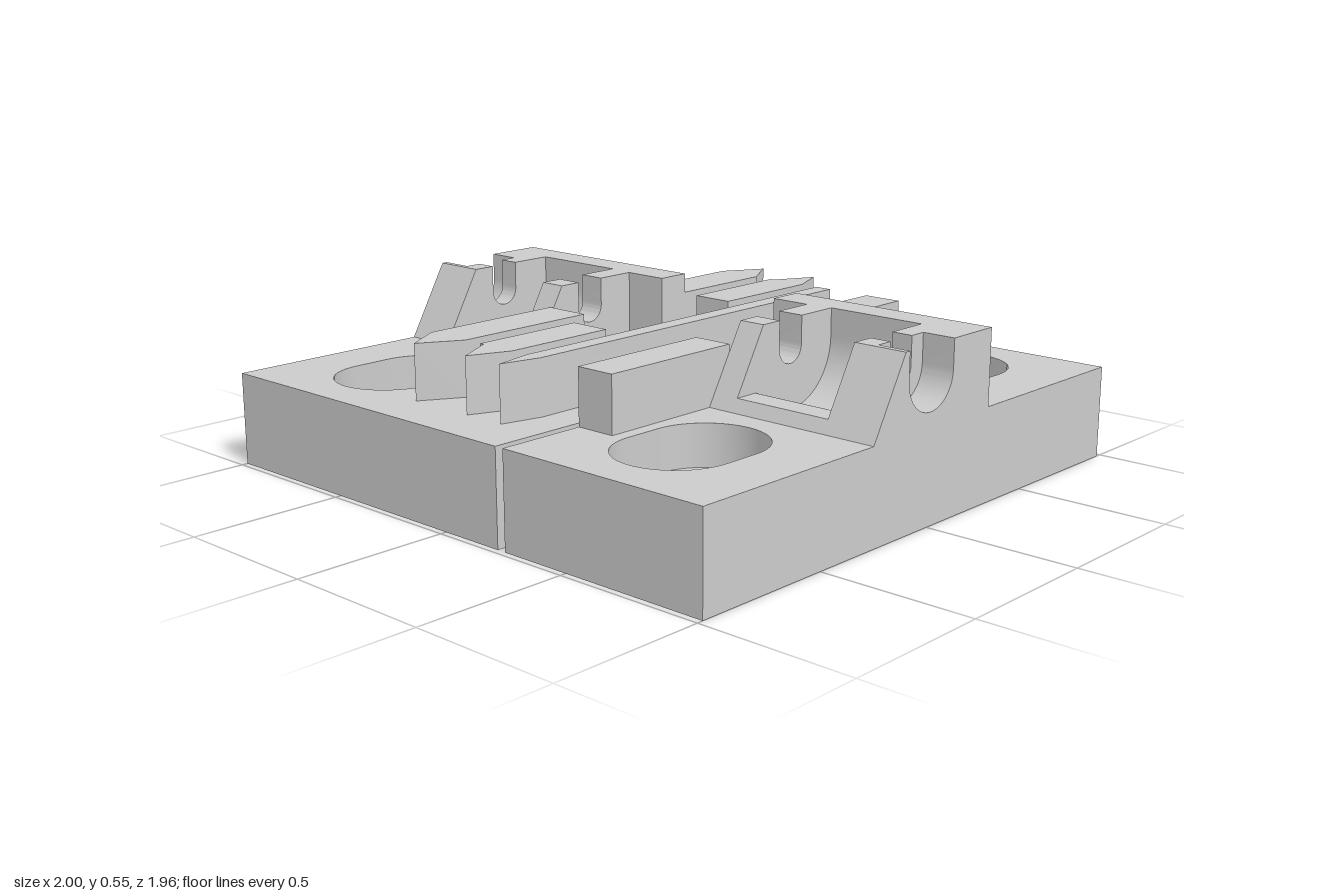
import * as THREE from 'three';
import { toCreasedNormals } from 'three/addons/utils/BufferGeometryUtils.js';

const material = new THREE.MeshStandardMaterial({ color: 0xcccccc });
const BASE = 0.305, TOP = 0.55, RIDGE = 0.485;   // heights
const BACK = -0.305, FRONT = 0.27, END = 0.98;   // depths along z
const AXLE = 0.46;                               // height of the axle line

export function createModel() {
  const model = new THREE.Group();

  const add = (name, geometry, parent = model) => {
    const mesh = new THREE.Mesh(toCreasedNormals(geometry, 0.5), material);
    mesh.name = name;
    parent.add(mesh);
  };
  const extrude = (shape, depth) =>
    new THREE.ExtrudeGeometry(shape, { depth, bevelEnabled: false, curveSegments: 24 });
  // Plan outline (x, z) raised from y0 to y1
  const raise = (shape, y0, y1) =>
    extrude(shape, y1 - y0).rotateX(Math.PI / 2).translate(0, y1, 0);
  // Side profile (z, y) swept from x0 to x1
  const sweep = (shape, x0, x1) =>
    extrude(shape, x1 - x0).rotateY(-Math.PI / 2).translate(x1, 0, 0);
  const poly = (points) => new THREE.Shape(points.map((p) => new THREE.Vector2(...p)));
  const rect = (a0, a1, b0, b1) => poly([[a0, b0], [a1, b0], [a1, b1], [a0, b1]]);

  // Rounded slot hole, long along z
  const slot = (x, z, r, half) => {
    const path = new THREE.Path();
    const s = half - r;
    path.absarc(x, z + s, r, 0, Math.PI, false);
    path.absarc(x, z - s, r, Math.PI, 2 * Math.PI, false);
    path.closePath();
    return path;
  };

  // Part of a base plate with a counterbored slot
  const slottedPlate = (name, x0, x1, z0, z1, sx, sz) => {
    const layers = [[0, 0.17, 0.095, 0.16], [0.17, BASE, 0.185, 0.248]];
    for (const [y0, y1, r, half] of layers) {
      const shape = rect(x0, x1, z0, z1);
      shape.holes.push(slot(sx, sz, r, half));
      add(name, raise(shape, y0, y1));
    }
  };
  slottedPlate('rightPlateFront', -1, 0.225, FRONT, END, -0.62, 0.606);
  slottedPlate('rightPlateBack', -1, 0.225, -0.87, BACK, -0.62, -0.606);
  slottedPlate('leftPlateFront', 0.255, 1, FRONT, END, 0.62, 0.606);
  slottedPlate('leftPlateBack', 0.255, 1, -END, BACK, 0.62, -0.606);

  // Back edge of the wide plate, with a small blind hole
  const edge = rect(-1, 0.225, 0, BASE);
  edge.holes.push(new THREE.Path().absarc(-0.345, 0.125, 0.028, 0, Math.PI * 2));
  add('rightPlateBackEdge', extrude(edge, END - 0.87).translate(0, 0, -END));

  // Wall profile with a U-shaped axle slot
  const cradle = (r) => {
    const s = poly([[BACK, 0], [FRONT, 0], [FRONT, BASE], [0.13, TOP], [r, TOP], [r, AXLE]]);
    s.absarc(0, AXLE, r, 0, Math.PI, true);
    s.lineTo(-r, TOP);
    s.lineTo(BACK, TOP);
    s.closePath();
    return s;
  };
  // Roller pocket profile: round trough with a flat lip towards the front
  const pocket = poly([[BACK, 0], [FRONT, 0], [FRONT, BASE], [0.247, 0.345], [0.164, 0.345]]);
  pocket.absarc(0, AXLE, 0.2, Math.atan2(-0.115, 0.164), Math.PI, true);
  pocket.lineTo(-0.2, TOP);
  pocket.lineTo(BACK, TOP);
  pocket.closePath();
  // Back wall standing on the open floor
  const wall = poly([[BACK, 0], [FRONT, 0], [FRONT, BASE], [-0.19, BASE], [-0.19, TOP], [BACK, TOP]]);
  const floor = rect(BACK, FRONT, 0, BASE);

  // Roller holders on both plates, swept from the outer end inwards
  for (const side of [-1, 1]) {
    const holder = new THREE.Group();
    holder.name = side < 0 ? 'rightRollerHolder' : 'leftRollerHolder';
    model.add(holder);
    const segments = [
      ['outerCradle', cradle(0.11), 0.89, 1],
      ['outerAxleWall', cradle(0.053), 0.82, 0.89],
      ['rollerPocket', pocket, 0.48, 0.82],
      ['innerAxleWall', cradle(0.053), 0.39, 0.48],
      ['backWall', wall, side < 0 ? 0.235 : 0.255, 0.39],
    ];
    for (const [name, shape, a, b] of segments)
      add(name, side < 0 ? sweep(shape, -b, -a) : sweep(shape, a, b), holder);
  }
  add('middleFloor', sweep(floor, -0.235, 0.225));

  // Guide ridges, some with pointed ends
  const ridge = (name, points) => add(name, raise(poly(points), BASE, RIDGE));
  for (const s of [1, -1]) {
    const tag = s > 0 ? 'Front' : 'Back';
    const start = s > 0 ? 0.18 : 0.305;
    ridge('wideRidge' + tag, [[-0.395, s * start], [-0.235, s * start],
      [-0.235, s * 0.685], [-0.315, s * 0.82], [-0.395, s * 0.685]]);
    ridge('middleRidge' + tag, [[-0.168, s * 0.29], [-0.025, s * 0.29], [-0.025, s * 0.685],
      [-0.08, s * 0.82], [-0.153, s * 0.685], [-0.168, s * 0.685]]);
    ridge('bluntRidge' + tag, [[0.255, s * start], [0.39, s * start],
      [0.39, s * 0.685], [0.255, s * 0.685]]);
  }
  ridge('narrowRidge', [[0.04, -0.685], [0.1, -0.685], [0.1, 0.685], [0.068, 0.82], [0.04, 0.685]]);

  return model;
}
